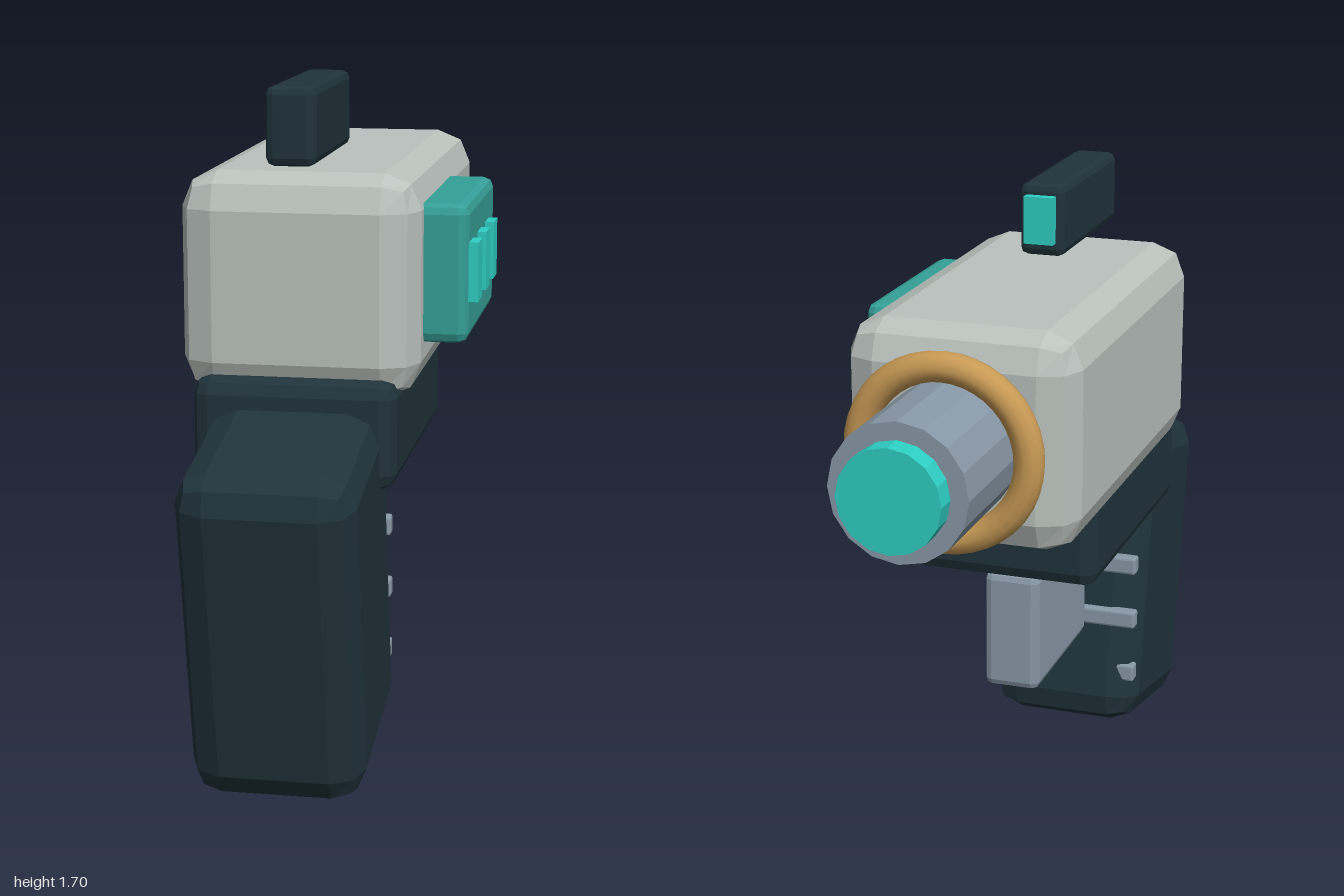
import * as THREE from 'three';
import { RoundedBoxGeometry } from 'three/addons/geometries/RoundedBoxGeometry.js';

const paint = (name, color) => {
  const m = new THREE.MeshStandardMaterial({ color });
  m.name = name;
  return m;
};

export function createModel() {
  const shell = paint('pale grey shell', 0xbac2be);
  const dark = paint('dark slate', 0x20333b);
  const teal = paint('teal', 0x35a098);
  const glow = paint('bright teal', 0x2ecfc4);
  const steel = paint('blue grey metal', 0x8999a7);
  const brass = paint('brass', 0xc89a55);

  const group = new THREE.Group();
  const cx = -0.067; // centre plane of the main parts

  const add = (name, geometry, material, x, y, z) => {
    const mesh = new THREE.Mesh(geometry, material);
    mesh.name = name;
    mesh.position.set(x, y, z);
    group.add(mesh);
    return mesh;
  };

  // Faceted box with bevelled edges
  const bevelBox = (w, h, d, r) => {
    const g = new RoundedBoxGeometry(w, h, d, 1, r);
    g.computeVertexNormals();
    return g;
  };

  // Faceted cylinder lying along z
  const roundBar = (r, length) => {
    const g = new THREE.CylinderGeometry(r, r, length, 16).rotateX(Math.PI / 2).toNonIndexed();
    g.computeVertexNormals();
    return g;
  };

  // Body and lower frame
  add('body', bevelBox(0.595, 0.555, 1.13, 0.09), shell, cx, 1.22, -0.006);
  add('lowerFrame', bevelBox(0.505, 0.27, 0.81, 0.04), dark, cx, 0.866, 0.193);

  // Raked grip with finger ribs
  const grip = add('grip', bevelBox(0.43, 0.862, 0.55, 0.08), dark, cx, 0.475, 0.656);
  grip.rotation.x = 0.2;
  for (const y of [0.585, 0.42, 0.255]) {
    add('gripRib', bevelBox(0.42, 0.05, 0.04, 0.007), steel, cx, y, 0.365);
  }

  // Trigger block
  add('triggerBlock', bevelBox(0.15, 0.327, 0.456, 0.02), steel, cx, 0.553, 0.091);

  // Barrel, muzzle and ring
  add('barrel', roundBar(0.172, 0.5), steel, cx, 1.218, -0.69);
  add('muzzle', roundBar(0.128, 0.12), glow, cx, 1.218, -0.94);
  add('barrelRing', new THREE.TorusGeometry(0.215, 0.038, 12, 40), brass, cx, 1.218, -0.64);

  // Floating sight with its lens
  add('sight', bevelBox(0.122, 0.19, 0.496, 0.02), dark, cx, 1.619, 0.358);
  add('sightLens', new THREE.BoxGeometry(0.08, 0.125, 0.05), glow, cx, 1.624, 0.108);

  // Side panel with three lights
  add('sidePanel', bevelBox(0.14, 0.345, 0.557, 0.025), teal, 0.27, 1.246, 0.158);
  for (const z of [0.375, 0.209, 0.043]) {
    add('panelLight', new THREE.BoxGeometry(0.04, 0.148, 0.08), glow, 0.343, 1.251, z);
  }

  return group;
}
